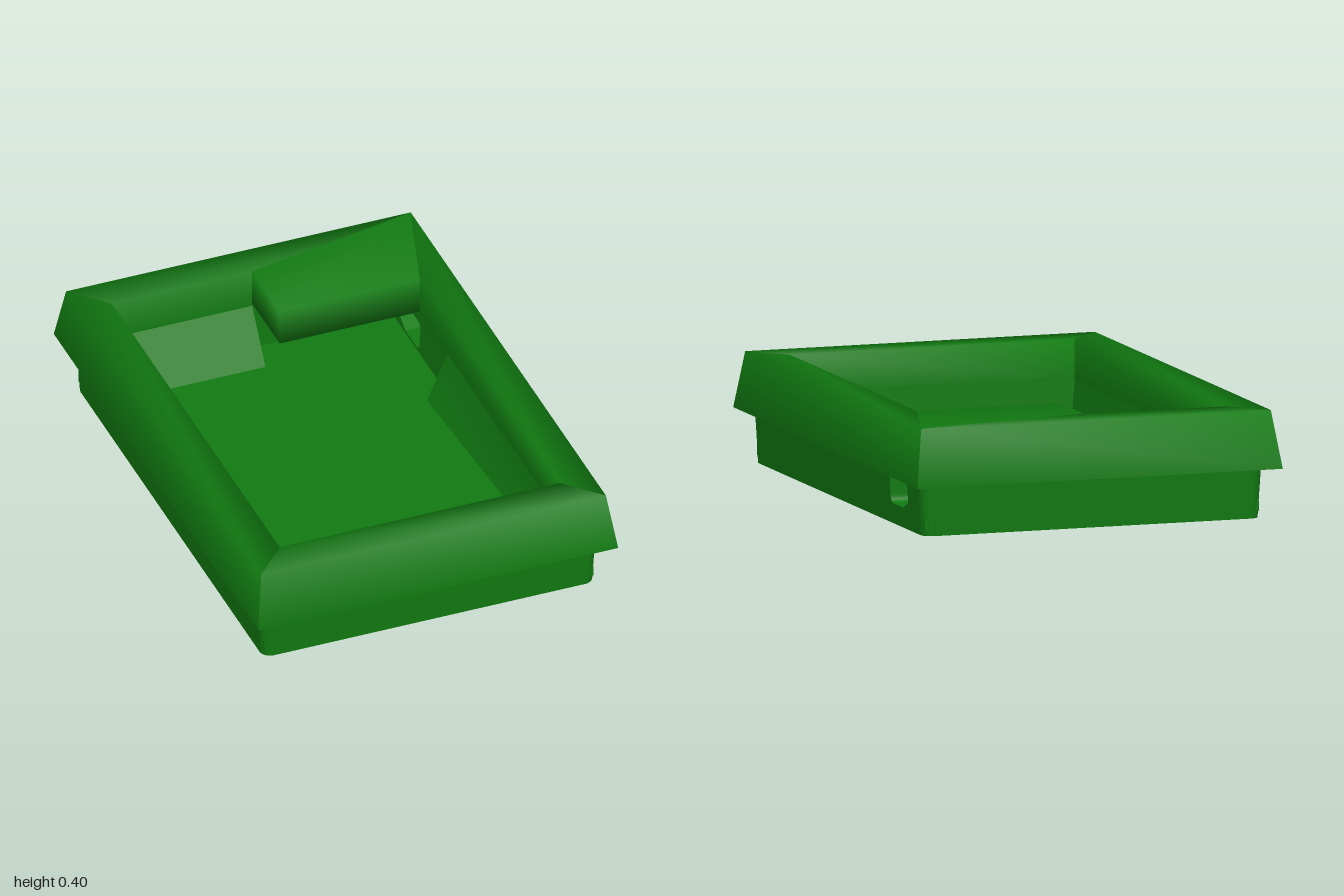
import * as THREE from 'three';

const green = new THREE.MeshStandardMaterial({ color: 0x117a11, side: THREE.DoubleSide });
green.name = 'green';

function addMesh(parent, name, geometry) {
  const mesh = new THREE.Mesh(geometry, green);
  mesh.name = name;
  parent.add(mesh);
  return mesh;
}

// Indexed surface with smooth normals
function surface(points, index) {
  const g = new THREE.BufferGeometry();
  g.setAttribute('position', new THREE.Float32BufferAttribute(points.flat(), 3));
  g.setIndex(index);
  g.computeVertexNormals();
  return g;
}

// Flat three- or four-cornered face
const face = (...p) => surface(p, p.length === 3 ? [0, 1, 2] : [0, 1, 2, 0, 2, 3]);

// Strip joining two or more equally long rows of points
function loft(rows) {
  const n = rows[0].length, index = [];
  for (let r = 0; r < rows.length - 1; r++) {
    for (let i = 0; i < n - 1; i++) {
      const a = r * n + i, d = a + n;
      index.push(a, a + 1, d, a + 1, d + 1, d);
    }
  }
  return surface(rows.flat(), index);
}

// Rounded rectangle path, from the +x side round the back, left and front
function roundedPath(hx, hz, y, r = 0.04) {
  const points = [];
  [[1, -1], [-1, -1], [-1, 1], [1, 1]].forEach(([sx, sz], k) => {
    for (let i = 0; i <= 6; i++) {
      const t = -(k + i / 6) * Math.PI / 2;
      points.push([sx * (hx - r) + r * Math.cos(t), y, sz * (hz - r) + r * Math.sin(t)]);
    }
  });
  return points;
}

export function createModel() {
  const model = new THREE.Group();
  model.name = 'tray';

  // Overhanging rim: one cushioned strip per side, mitred at the corners
  const rim = new THREE.Group();
  rim.name = 'rim';
  model.add(rim);
  const profile = [
    [0.65, 0.92, 0.215], [0.68, 0.975, 0.215], [0.68, 0.975, 0.19], [0.7, 1, 0.19],
    [0.67, 0.955, 0.4], [0.545, 0.82, 0.4], [0.545, 0.82, 0.25],
  ];
  const corners = [[1, 1], [1, -1], [-1, -1], [-1, 1]];
  ['rimLeft', 'rimBack', 'rimRight', 'rimFront'].forEach((name, k) => {
    const ends = [corners[k], corners[(k + 1) % 4]];
    // the lip below is kept crisp, the outer wall and top are smoothed together
    const strip = (p) => loft(p.map(([x, z, y]) => ends.map(([sx, sz]) => [sx * x, y, sz * z])));
    addMesh(rim, name + 'Lip', strip(profile.slice(0, 3)));
    addMesh(rim, name, strip(profile.slice(2)));
  });

  // Lower body shell, open on the +x side for the slotted wall
  addMesh(model, 'bodyShell', loft([roundedPath(0.645, 0.915, 0), roundedPath(0.657, 0.927, 0.23)]));

  // Side wall with the cable slot, leaning slightly outward
  const wall = new THREE.Shape();
  wall.moveTo(-0.886, 0);
  wall.lineTo(0.876, 0);
  wall.lineTo(0.888, 0.23);
  wall.lineTo(-0.888, 0.23);
  const slot = new THREE.Path();
  slot.moveTo(0.595, 0.075);
  slot.lineTo(0.7, 0.075);
  slot.lineTo(0.757, 0.1);
  slot.lineTo(0.757, 0.16);
  slot.quadraticCurveTo(0.757, 0.187, 0.73, 0.187);
  slot.lineTo(0.595, 0.187);
  slot.quadraticCurveTo(0.567, 0.187, 0.567, 0.16);
  slot.lineTo(0.567, 0.105);
  slot.quadraticCurveTo(0.567, 0.075, 0.595, 0.075);
  wall.holes.push(slot);
  const wallGeometry = new THREE.ExtrudeGeometry(wall, { depth: 0.1, bevelEnabled: false });
  wallGeometry.rotateY(Math.PI / 2).translate(0.545, 0, 0);
  const pos = wallGeometry.attributes.position;
  for (let i = 0; i < pos.count; i++) pos.setX(i, pos.getX(i) + 0.052 * pos.getY(i));
  wallGeometry.computeVertexNormals();
  addMesh(model, 'slottedWall', wallGeometry);

  // Base plate with round recesses near its corners
  const base = new THREE.Shape(roundedPath(0.645, 0.915, 0).map(([x, , z]) => new THREE.Vector2(x, z)));
  for (const sx of [1, -1]) {
    for (const [x, z, r] of [[0.612, 0.883, 0.027], [0.612, -0.883, 0.027], [0.48, 0.79, 0.022], [0.48, -0.885, 0.022]]) {
      base.holes.push(new THREE.Path().absarc(sx * x, z, r, 0, Math.PI * 2, true));
    }
  }
  const baseGeometry = new THREE.ExtrudeGeometry(base, { depth: 0.025, bevelEnabled: false, curveSegments: 10 });
  baseGeometry.rotateX(Math.PI / 2).translate(0, 0.025, 0);
  addMesh(model, 'basePlate', baseGeometry);
  addMesh(model, 'floor', new THREE.BoxGeometry(1.28, 0.04, 1.82).translate(0, 0.045, 0));

  // Sloping inner lining between the rim and the floor
  const t = 0.25, f = 0.065;
  const lining = new THREE.Group();
  lining.name = 'lining';
  model.add(lining);
  addMesh(lining, 'liningRight', face([-0.545, t, 0.82], [-0.525, f, 0.81], [-0.525, f, -0.69], [-0.545, t, -0.82]));
  addMesh(lining, 'liningBack', face([-0.545, t, -0.82], [-0.525, f, -0.69], [0, f, -0.69], [0, t, -0.82]));
  addMesh(lining, 'liningBackEnd', face([0, t, -0.82], [0, f, -0.69], [0, f, -0.82]));
  addMesh(lining, 'liningBackUpright', face([0, t, -0.82], [0, f, -0.82], [0.56, f, -0.82], [0.56, t, -0.82]));
  addMesh(lining, 'liningFront', face([0.545, t, 0.82], [0.52, f, 0.81], [-0.525, f, 0.81], [-0.545, t, 0.82]));
  addMesh(lining, 'liningLeft', face([0.545, t, -0.28], [0.465, f, -0.28], [0.52, f, 0.81], [0.545, t, 0.82]));
  addMesh(lining, 'liningLeftEnd', face([0.545, t, -0.28], [0.56, f, -0.28], [0.465, f, -0.28]));

  // Corner shelf, level with the rim and blended into its corner
  const top = 0.402, low = 0.26;
  addMesh(model, 'cornerShelf', surface([
    [0, top, -0.82], [0, top, -0.55], [0.545, top, -0.55], [0.668, top, -0.953],
    [0, low, -0.82], [0, low, -0.55], [0.545, low, -0.55], [0.545, low, -0.82],
  ], [
    3, 0, 1, 3, 1, 2, // top
    0, 4, 5, 0, 5, 1, // end
    1, 5, 6, 1, 6, 2, // front
    4, 7, 6, 4, 6, 5, // underside
  ]));

  return model;
}
